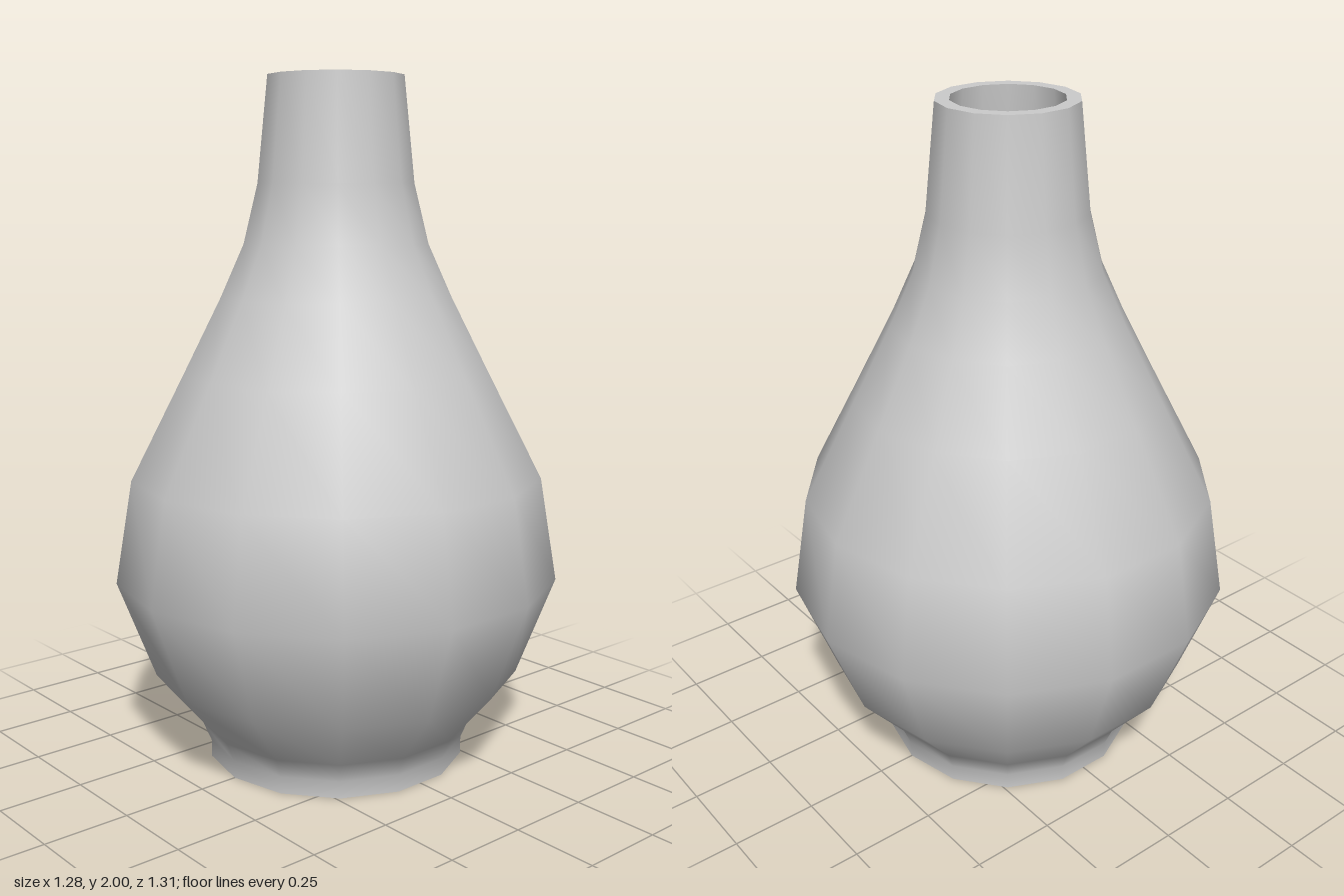
import * as THREE from 'three';

const SIDES = 14;

// Outer silhouette as [radius, height], foot to lip
const OUTER = [
  [0.385, 0], [0.385, 0.05], [0.41, 0.11], [0.545, 0.27], [0.655, 0.56], [0.605, 0.86],
  [0.45, 1.16], [0.338, 1.38], [0.27, 1.53], [0.228, 1.7], [0.197, 2],
];

// Cavity wall, lip to floor
const INNER = [
  [0.157, 2], [0.18, 1.7], [0.22, 1.53], [0.29, 1.37], [0.4, 1.15],
  [0.55, 0.85], [0.6, 0.56], [0.49, 0.29], [0.36, 0.14], [0.335, 0.06],
];

export function createModel() {
  const vase = new THREE.Group();
  vase.name = 'vase';
  const material = new THREE.MeshStandardMaterial({ color: 0xcccccc });

  // Each zone is its own lathe, so the lip and foot edges stay sharp
  const turn = (name, profile) => {
    const points = profile.map(([r, y]) => new THREE.Vector2(r, y));
    const mesh = new THREE.Mesh(new THREE.LatheGeometry(points, SIDES), material);
    mesh.name = name;
    vase.add(mesh);
  };

  turn('body', OUTER);
  turn('rim', [OUTER[OUTER.length - 1], INNER[0]]);
  turn('innerWall', INNER);
  turn('innerFloor', [INNER[INNER.length - 1], [0, 0.06]]);
  turn('base', [[0, 0], OUTER[0]]);

  return vase;
}
